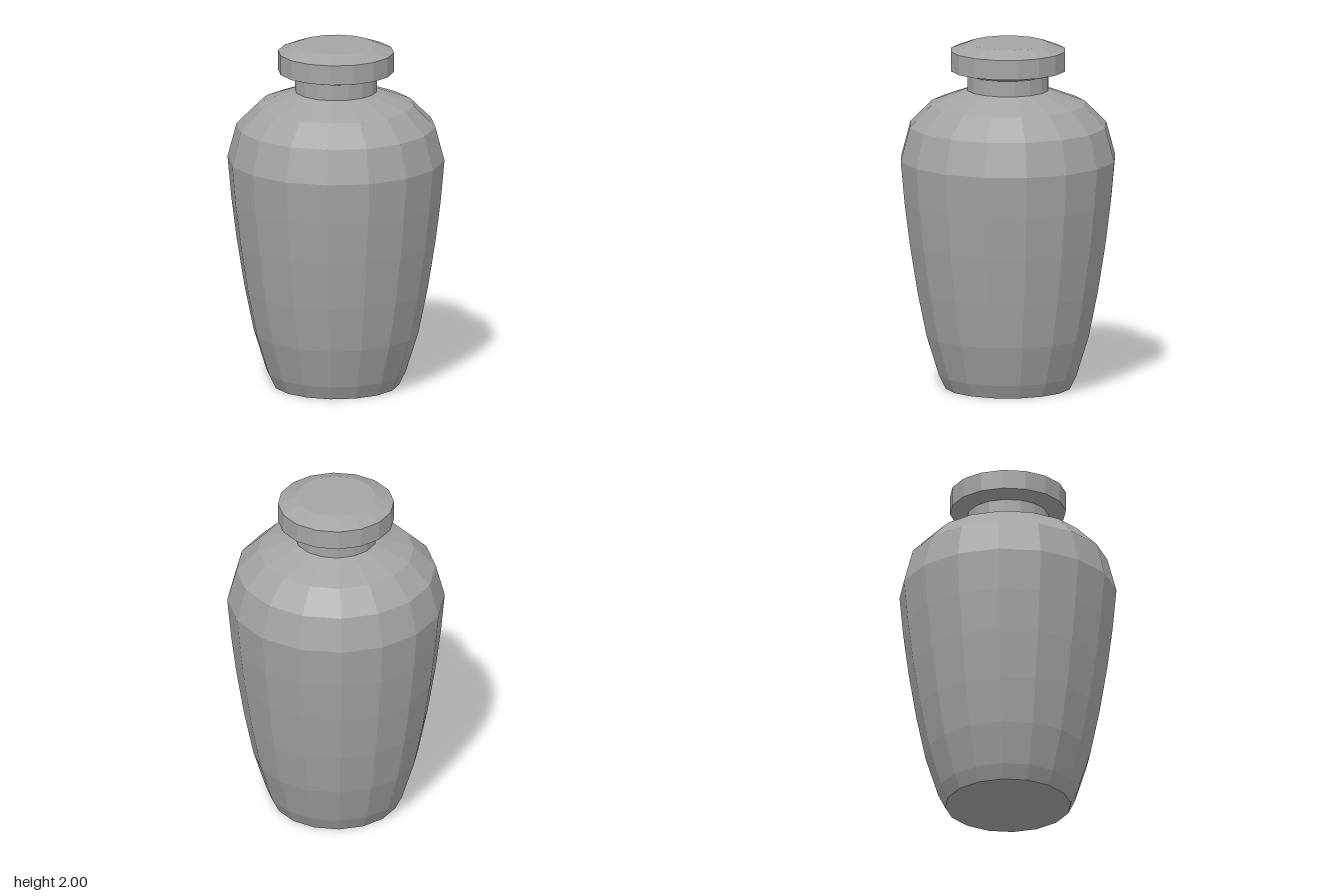
import * as THREE from 'three';

const SIDES = 16;

// Faceted solid of revolution from [radius, height] pairs, bottom to top
function turned(name, profile, material) {
  const points = profile.map(([r, y]) => new THREE.Vector2(r, y));
  const mesh = new THREE.Mesh(new THREE.LatheGeometry(points, SIDES), material);
  mesh.name = name;
  return mesh;
}

export function createModel() {
  const grey = new THREE.MeshStandardMaterial({ color: 0xa4a4a4, flatShading: true });
  grey.name = 'stone grey';

  const urn = new THREE.Group();
  urn.name = 'urn';

  // Tapering body with rounded shoulder, open where the neck continues
  urn.add(turned('body', [
    [0, 0], [0.36, 0], [0.4, 0.08], [0.472, 0.31], [0.525, 0.57], [0.57, 0.85],
    [0.6, 1.09], [0.622, 1.33], [0.57, 1.525], [0.445, 1.65], [0.235, 1.73],
  ], grey));

  // Short straight neck
  urn.add(turned('neck', [[0.235, 1.73], [0.235, 1.82]], grey));

  // Bevelled lid with a flat top
  urn.add(turned('lid', [
    [0, 1.82], [0.235, 1.82], [0.332, 1.846], [0.332, 1.96], [0.225, 2], [0, 2],
  ], grey));

  return urn;
}
